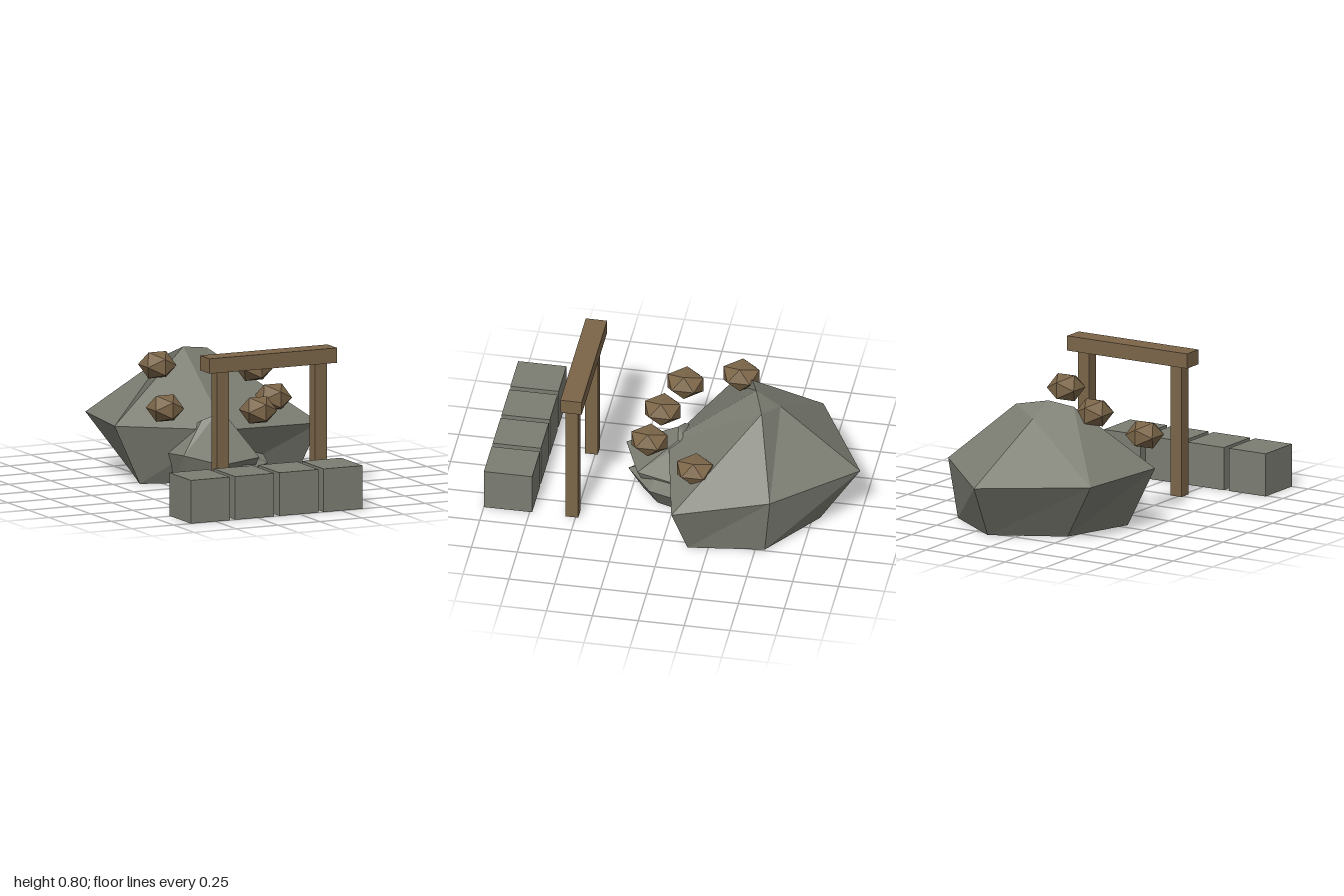
import * as THREE from 'three';

// Stone is double sided because the boulders are hollow shells, open underneath
const stone = new THREE.MeshStandardMaterial({ color: 0x7b7d72, side: THREE.DoubleSide });
stone.name = 'stone grey';
const wood = new THREE.MeshStandardMaterial({ color: 0x7b6548 });
wood.name = 'wood brown';

function add(group, name, geometry, material, x = 0, y = 0, z = 0) {
  const mesh = new THREE.Mesh(geometry, material);
  mesh.name = name;
  mesh.position.set(x, y, z);
  group.add(mesh);
  return mesh;
}

// Faceted boulder skinned over rings of six points, listed from the bottom up;
// each ring runs front, right, back, left. Repeated points merge into one corner.
function boulder(rings) {
  const pts = rings.map(r => r.map(p => new THREE.Vector3(...p)));
  const out = [];
  const tri = (a, b, c) => {
    if (a.equals(b) || b.equals(c) || a.equals(c)) return;
    for (const p of [a, b, c]) out.push(p.x, p.y, p.z);
  };
  for (let k = 0; k + 1 < pts.length; k++) {
    const a = pts[k], b = pts[k + 1];
    for (let i = 0; i < 6; i++) {
      const j = (i + 1) % 6;
      tri(a[i], a[j], b[j]);
      tri(a[i], b[j], b[i]);
    }
  }
  const top = pts[pts.length - 1];
  for (let i = 1; i < 5; i++) tri(top[0], top[i], top[i + 1]);
  const g = new THREE.BufferGeometry();
  g.setAttribute('position', new THREE.Float32BufferAttribute(out, 3));
  g.computeVertexNormals();
  return g;
}

export function createModel() {
  const model = new THREE.Group();
  model.name = 'rockyGateway';

  // Large rear boulder
  const right = [0.17, 0.657, -0.475], back = [0.015, 0.61, -0.55];
  add(model, 'largeBoulder', boulder([
    [[0.01, 0, -0.08], [0.545, 0, -0.14], [0.49, 0, -0.55], [0.15, 0, -0.79], [-0.23, 0, -0.59], [-0.365, 0, -0.2]],
    [[0.02, 0.305, 0.06], [0.645, 0.275, -0.07], [0.53, 0.335, -0.585], [0.105, 0.305, -1], [-0.445, 0.32, -0.7], [-0.525, 0.33, -0.18]],
    [[0, 0.685, -0.415], right, right, back, back, [-0.13, 0.657, -0.37]],
  ]), stone);

  // Smaller boulder, partly buried in its front
  add(model, 'smallBoulder', boulder([
    [[-0.107, 0, 0.18], [0.1, 0, 0.13], [0.16, 0, -0.05], [0.03, 0, -0.22], [-0.19, 0, -0.15], [-0.17, 0, 0]],
    [[-0.125, 0.165, 0.315], [0.15, 0.17, 0.205], [0.23, 0.17, -0.06], [0.05, 0.17, -0.31], [-0.27, 0.17, -0.23], [-0.22, 0.18, 0.04]],
    [[-0.012, 0.385, 0.01], [0.07, 0.35, 0.0], [0.07, 0.35, -0.04], [0.02, 0.34, -0.08], [-0.05, 0.34, -0.08], [-0.09, 0.355, -0.01]],
  ]), stone);

  // Low slab poking out beside the small boulder
  add(model, 'lowSlab', boulder([
    [[0.05, 0, 0.19], [0.17, 0, 0.09], [0.23, 0, -0.08], [0.14, 0, -0.19], [0, 0, -0.17], [-0.07, 0, 0.07]],
    [[0.04, 0.115, 0.275], [0.24, 0.12, 0.125], [0.33, 0.13, -0.12], [0.19, 0.13, -0.26], [-0.02, 0.12, -0.24], [-0.12, 0.115, 0.1]],
    [[0.05, 0.155, 0.19], [0.15, 0.165, 0.1], [0.2, 0.17, -0.06], [0.12, 0.165, -0.13], [0, 0.16, -0.12], [-0.05, 0.155, 0.06]],
  ]), stone);

  // Floating chunks
  const chunk = new THREE.IcosahedronGeometry(1, 0).scale(0.1, 0.083, 0.115);
  chunk.computeVertexNormals();
  [[-0.214, 0.622, -0.295], [0.189, 0.634, 0.06], [-0.327, 0.447, 0.03], [0.177, 0.414, 0.135], [0.407, 0.42, -0.155]]
    .forEach((p, i) => add(model, `chunk${i + 1}`, chunk, wood, ...p));

  // Timber gate
  const post = new THREE.BoxGeometry(0.07, 0.722, 0.07);
  for (const [name, x] of [['rightPost', -0.238], ['leftPost', 0.347]]) add(model, name, post, wood, x, 0.361, 0.52);
  add(model, 'gateBeam', new THREE.BoxGeometry(0.76, 0.081, 0.116), wood, 0.054, 0.762, 0.515);

  // Row of wall blocks
  const block = new THREE.BoxGeometry(0.233, 0.235, 0.263);
  for (let i = 0; i < 4; i++) add(model, `wallBlock${i + 1}`, block, stone, -0.531 + i * 0.264, 0.1175, 0.8685);

  return model;
}
